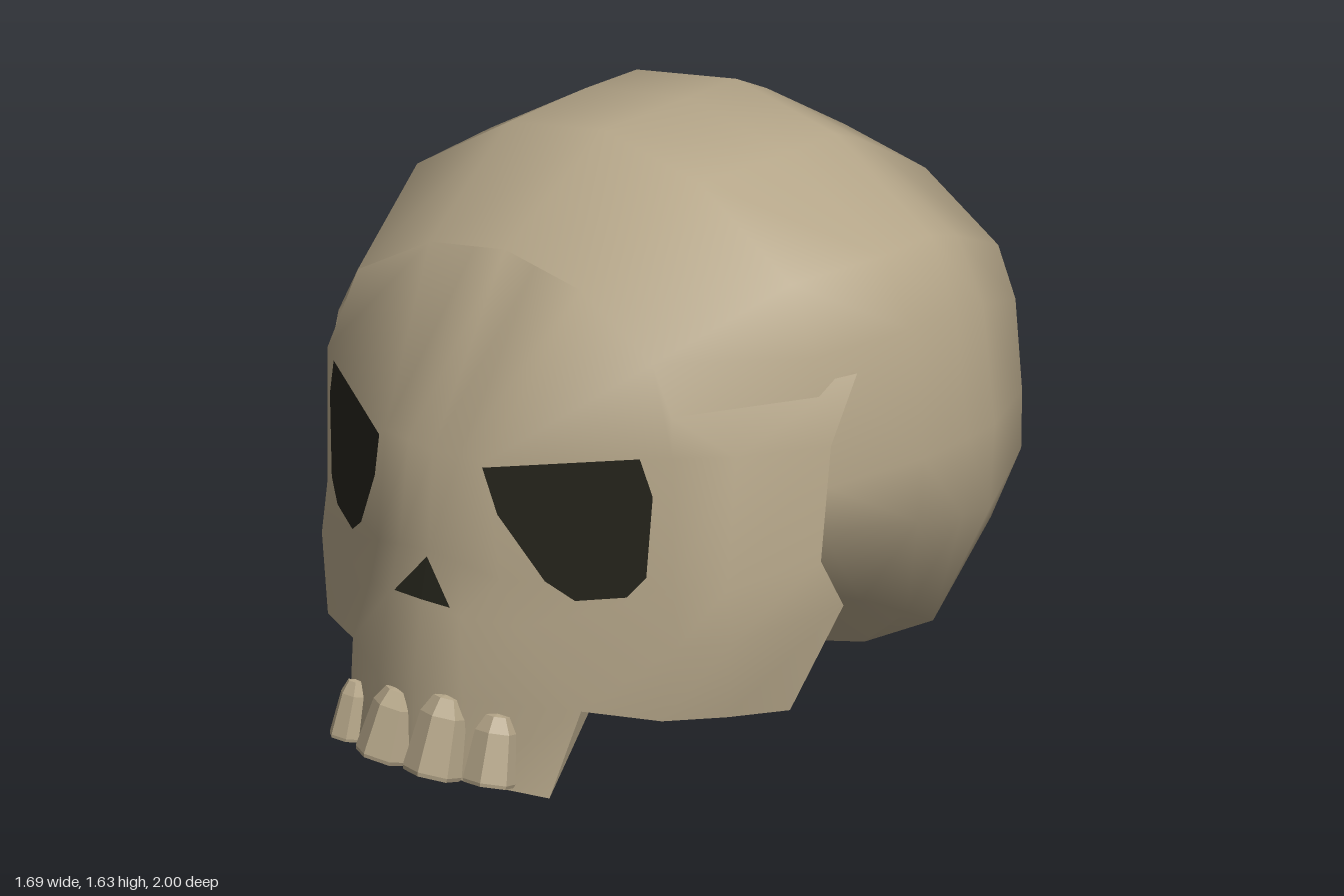
import * as THREE from 'three';
import { mergeGeometries, toCreasedNormals } from 'three/addons/utils/BufferGeometryUtils.js';

// Surface through rows of equally many points
function gridGeometry(rows) {
  const n = rows[0].length, index = [];
  for (let r = 0; r < rows.length - 1; r++) {
    for (let c = 0; c < n - 1; c++) {
      const a = r * n + c, b = a + 1, d = a + n, e = d + 1;
      index.push(a, d, b, b, d, e);
    }
  }
  const geo = new THREE.BufferGeometry();
  geo.setAttribute('position', new THREE.Float32BufferAttribute(rows.flat(2), 3));
  geo.setIndex(index);
  return geo;
}

// Half row from the centre line outwards, mirrored to a full row
const mirrorRow = half => [
  ...half.slice(1).reverse().map(([x, y, z]) => [-x, y, z]), ...half];

// Cranium: one cross-section shape, scaled and slightly bowed along z
const SECTION = [[0, 1], [0.43, 0.92], [0.84, 0.67], [0.95, 0.44], [1, 0],
  [0.98, -0.3], [0.74, -0.75], [0.44, -0.9], [0, -1]];
const MID = 0.83;
function slice([zTop, zSide, zBottom, top, bottom, width]) {
  const half = SECTION.map(([x, y]) => [
    x * width,
    MID + y * (y > 0 ? top - MID : MID - bottom),
    zSide + ((y > 0 ? zTop : zBottom) - zSide) * y * y]);
  const other = half.slice(0, -1).reverse().map(([x, y, z]) => [-x, y, z]);
  return [...half, ...other];
}
const FOREHEAD = slice([0.54, 0.54, 0.54, 1.41, 0.6, 0.63]);

function craniumGeometry() {
  // z at top, side and bottom, then top, bottom, half width
  const slices = [
    [-1, -1, -0.99, 1.05, 0.63, 0],
    [-0.9, -0.92, -0.94, 1.215, 0.46, 0.36],
    [-0.8, -0.74, -0.87, 1.39, 0.26, 0.69],
    [-0.49, -0.5, -0.48, 1.58, 0.02, 0.81],
    [-0.37, -0.37, -0.37, 1.64, 0.1, 0.83],
    [-0.18, -0.18, -0.18, 1.64, 0.22, 0.845],
    [0.15, 0.15, 0.15, 1.64, 0.39, 0.8],
  ].map(slice);
  return gridGeometry([...slices, FOREHEAD]);
}

// Face shell with upper jaw and closed underside
function faceGeometry() {
  const [f0, f1, f2, f3] = FOREHEAD;
  const f01 = f0.map((v, i) => v + (f1[i] - v) * 0.4);
  // Rows: forehead edge, brow, eyes, cheeks, lower edge
  const rows = [
    [f0, f01, f1, f2, f3, [0.8, 1.12, 0.03]],
    [[0, 0.92, 0.825], [0.09, 0.925, 0.822], [0.18, 0.93, 0.815], [0.62, 0.98, 0.56], [0.72, 0.97, 0.42], [0.815, 0.95, 0.15]],
    [[0, 0.64, 0.84], [0.11, 0.63, 0.835], [0.22, 0.6, 0.8], [0.62, 0.6, 0.56], [0.715, 0.6, 0.45], [0.825, 0.64, 0.2]],
    [[0, 0.5, 0.868], [0.13, 0.49, 0.86], [0.27, 0.47, 0.775], [0.64, 0.45, 0.56], [0.73, 0.45, 0.45], [0.842, 0.5, 0.13]],
    [[0, 0.27, 0.9], [0.15, 0.26, 0.875], [0.41, 0.245, 0.69], [0.6, 0.235, 0.58], [0.69, 0.225, 0.42], [0.75, 0.21, 0.24]],
  ];
  // Rear edge folds inwards to give the cheek some thickness
  rows.forEach(r => {
    const [x, y, z] = r[5];
    r.push([x - 0.05, y, z + 0.01]);
  });
  const low = rows[4];

  // Upper jaw, front and back walls
  const jawEdge = [[0, 0.04, 0.9], [0.15, 0.03, 0.865], [0.36, 0.005, 0.76]];
  const jawBack = low.slice(0, 3).map(([x, y, z]) => [x * 0.95, y, z - 0.07]);
  const jawFront = gridGeometry([
    mirrorRow([...low.slice(0, 3), jawBack[2]]),
    mirrorRow([...jawEdge, jawEdge[2]]),
  ]);
  const jawRear = gridGeometry([mirrorRow(jawEdge), mirrorRow(jawBack)]);

  // Underside rising from the lower edge to the base of the cranium
  const underside = gridGeometry([
    mirrorRow([...jawBack, ...low.slice(3)]),
    mirrorRow([[0, 0.44, 0.32], [0.14, 0.44, 0.31], [0.3, 0.45, 0.29], [0.52, 0.46, 0.26],
      [0.66, 0.48, 0.2], [0.75, 0.5, 0.15], [0.79, 0.5, 0.14]]),
  ]);
  return [gridGeometry(rows.map(mirrorRow)), jawFront, jawRear, underside];
}

// Thin dark patch laid on the face by a depth rule
function patch(name, points, depth, side, material) {
  const geo = new THREE.ShapeGeometry(
    new THREE.Shape(points.map(([x, y]) => new THREE.Vector2(x * side, y))));
  const p = geo.attributes.position;
  for (let i = 0; i < p.count; i++) p.setZ(i, depth(Math.abs(p.getX(i)), p.getY(i)));
  geo.computeVertexNormals();
  const mesh = new THREE.Mesh(geo, material);
  mesh.name = name;
  return mesh;
}

// Faceted tooth, rounded off at the root
function tooth(x, y, z, radius, height, lean, material) {
  const profile = [[0, 0], [0.95, 0.01], [1, 0.06], [0.78, 0.75], [0.45, 0.97], [0, 1]]
    .map(([r, h]) => new THREE.Vector2(r * radius, h * height));
  const geo = new THREE.LatheGeometry(profile, 6).toNonIndexed();
  geo.scale(1, 1, 0.8);
  geo.computeVertexNormals();
  const mesh = new THREE.Mesh(geo, material);
  mesh.position.set(x, y, z);
  mesh.rotation.set(-0.25, x * 1.2, lean);
  mesh.name = 'tooth';
  return mesh;
}

export function createModel() {
  const bone = new THREE.MeshStandardMaterial({ color: 0xb5a689, side: THREE.DoubleSide });
  bone.name = 'bone';
  const dark = new THREE.MeshStandardMaterial({ color: 0x26251c, side: THREE.DoubleSide });
  dark.name = 'dark hollow';

  const model = new THREE.Group();
  model.name = 'skull';

  // Cranium and face share smooth normals across the forehead
  const shell = mergeGeometries([craniumGeometry(), ...faceGeometry()]);
  const head = new THREE.Mesh(toCreasedNormals(shell, 1), bone);
  head.name = 'craniumAndFace';
  model.add(head);

  // Eye sockets and nose opening
  const eye = [[0.185, 0.92], [0.55, 0.975], [0.58, 0.87], [0.565, 0.64],
    [0.52, 0.58], [0.4, 0.56], [0.33, 0.61], [0.22, 0.79]];
  const nose = [[0, 0.625], [0, 0.51], [0.1, 0.51]];
  for (const side of [1, -1]) {
    model.add(patch(side > 0 ? 'leftEyeSocket' : 'rightEyeSocket', eye,
      x => 0.945 - 0.605 * x, side, dark));
    model.add(patch('noseOpening', nose,
      (x, y) => 0.873 - 0.2 * (y - 0.5) - 0.04 * x, side, dark));
  }

  // Uneven upper teeth
  const teeth = new THREE.Group();
  teeth.name = 'upperTeeth';
  teeth.add(
    tooth(-0.265, 0.05, 0.885, 0.05, 0.165, -0.04, bone),
    tooth(-0.095, 0.05, 0.925, 0.082, 0.2, -0.1, bone),
    tooth(0.095, 0.05, 0.935, 0.085, 0.225, -0.03, bone),
    tooth(0.255, 0.05, 0.885, 0.074, 0.195, 0.04, bone));
  model.add(teeth);
  return model;
}
